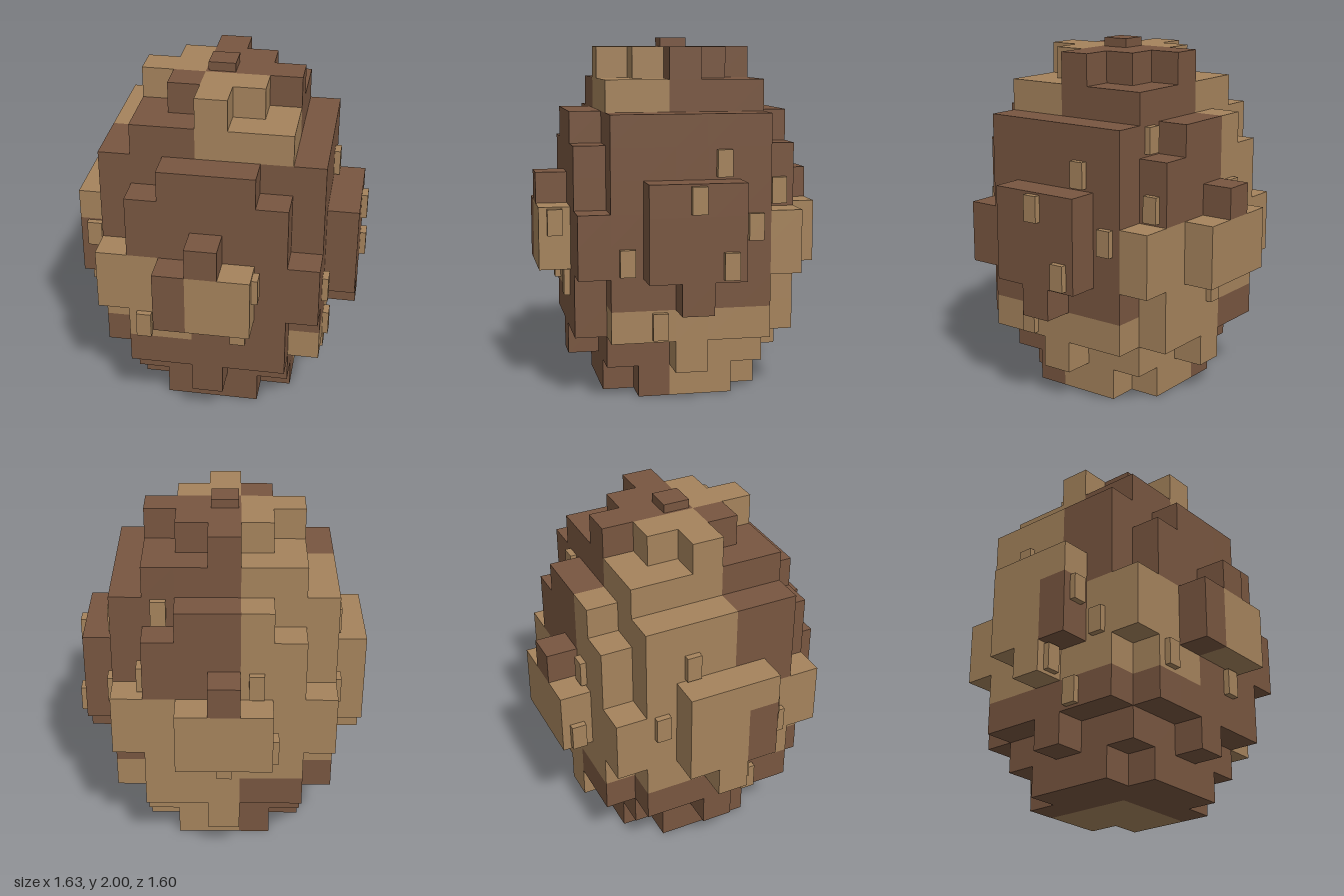
import * as THREE from 'three';
import { mergeGeometries } from 'three/addons/utils/BufferGeometryUtils.js';

const S = 1.95 / 11;   // block size
const CX = -0.02;      // middle of the block grid in x

// Size (squared radius in blocks) of each layer, bottom to top
const LAYERS = [6, 9.5, 14, 15.5, 18.5, 18.5, 16.5, 14, 12.7, 8.5, 4.5];

// Patches of 3 x 3 x 3 blocks: [height][z, back to front][x], D dark, L light
const PATCHES = [
  ['DDLL', 'DDLL', 'DDDL', 'DDDD'],
  ['LLLL', 'LLDD', 'DLDD', 'DDLD'],
  ['LLDD', 'LLDD', 'LDDD', 'DDDD'],
  ['LLDD', 'LLDD', 'DDLD', 'DDDD'],
];

// Flecks: facing direction, then centre of the base on the shell (x, y, z)
const FLECKS = [
  ['x', 1, 0.6, 1.33, -0.177], ['x', 1, 0.777, 1.155, 0], ['x', 1, 0.423, 1.155, -0.532],
  ['x', 1, 0.6, 0.98, -0.355], ['x', 1, 0.6, 0.8, 0.355], ['x', 1, 0.777, 0.8, -0.177],
  ['x', 1, 0.246, 0.98, 0.709], ['x', 1, 0.6, 0.445, 0.177],
  ['x', -1, -0.64, 1.33, -0.177], ['x', -1, -0.64, 0.98, -0.355], ['x', -1, -0.64, 0.8, 0.355],
  ['x', -1, -0.64, 0.445, 0.177], ['x', -1, -0.286, 0.8, -0.709],
  ['z', 1, -0.73, 0.98, 0.266], ['z', 1, -0.73, 0.625, 0.089],
  ['z', 1, -0.375, 0.625, 0.62], ['z', 1, 0.157, 0.625, 0.62],
  ['z', -1, -0.197, 1.155, -0.62], ['z', -1, -0.02, 0.625, -0.62], ['z', -1, 0.335, 1.51, -0.443],
];

// Block directions and the turn that points a plane that way
const SIDES = [
  [0, 0, 1, 0, 0], [0, 0, -1, 0, Math.PI],
  [1, 0, 0, 0, Math.PI / 2], [-1, 0, 0, 0, -Math.PI / 2],
  [0, 1, 0, -Math.PI / 2, 0], [0, -1, 0, Math.PI / 2, 0],
];

const isFilled = (dx, k, dz) =>
  k >= 0 && k < LAYERS.length && 0.95 * dx * dx + dz * dz <= LAYERS[k];

const patchAt = (dx, k, dz) =>
  PATCHES[Math.floor(k / 3)][Math.floor((dz + 5) / 3)][Math.floor((dx + 6) / 3)];

export function createModel() {
  const model = new THREE.Group();
  const dark = new THREE.MeshStandardMaterial({ color: 0x785640 });
  dark.name = 'dark brown';
  const light = new THREE.MeshStandardMaterial({ color: 0xa5835c });
  light.name = 'light tan';

  const add = (name, geometry, material) => {
    const mesh = new THREE.Mesh(geometry, material);
    mesh.name = name;
    model.add(mesh);
    return mesh;
  };

  // Blocky egg-shaped shell: only the exposed faces, sorted by colour
  const faces = { D: [], L: [] };
  for (let k = 0; k < LAYERS.length; k++)
    for (let dx = -4; dx <= 4; dx++)
      for (let dz = -4; dz <= 4; dz++) {
        if (!isFilled(dx, k, dz)) continue;
        for (const [nx, ny, nz, turnX, turnY] of SIDES) {
          if (isFilled(dx + nx, k + ny, dz + nz)) continue;
          const face = new THREE.PlaneGeometry(S, S)
            .translate(0, 0, S / 2)
            .rotateX(turnX)
            .rotateY(turnY)
            .translate(CX + dx * S, (k + 0.5) * S, dz * S);
          faces[patchAt(dx, k, dz)].push(face);
        }
      }
  add('darkShell', mergeGeometries(faces.D), dark);
  add('lightShell', mergeGeometries(faces.L), light);

  // Small raised flecks on the shell
  const depth = 0.035;
  const sizes = {
    x: new THREE.BoxGeometry(depth, 0.148, 0.084),
    z: new THREE.BoxGeometry(0.084, 0.148, depth),
  };
  for (const [axis, sign, x, y, z] of FLECKS) {
    const fleck = add('fleck', sizes[axis], light);
    fleck.position.set(x, y, z);
    fleck.position[axis] += sign * depth / 2;
  }

  // Stub on top
  add('topStub', new THREE.BoxGeometry(0.15, 0.05, 0.15), dark).position.set(CX, 1.975, -0.003);

  return model;
}
